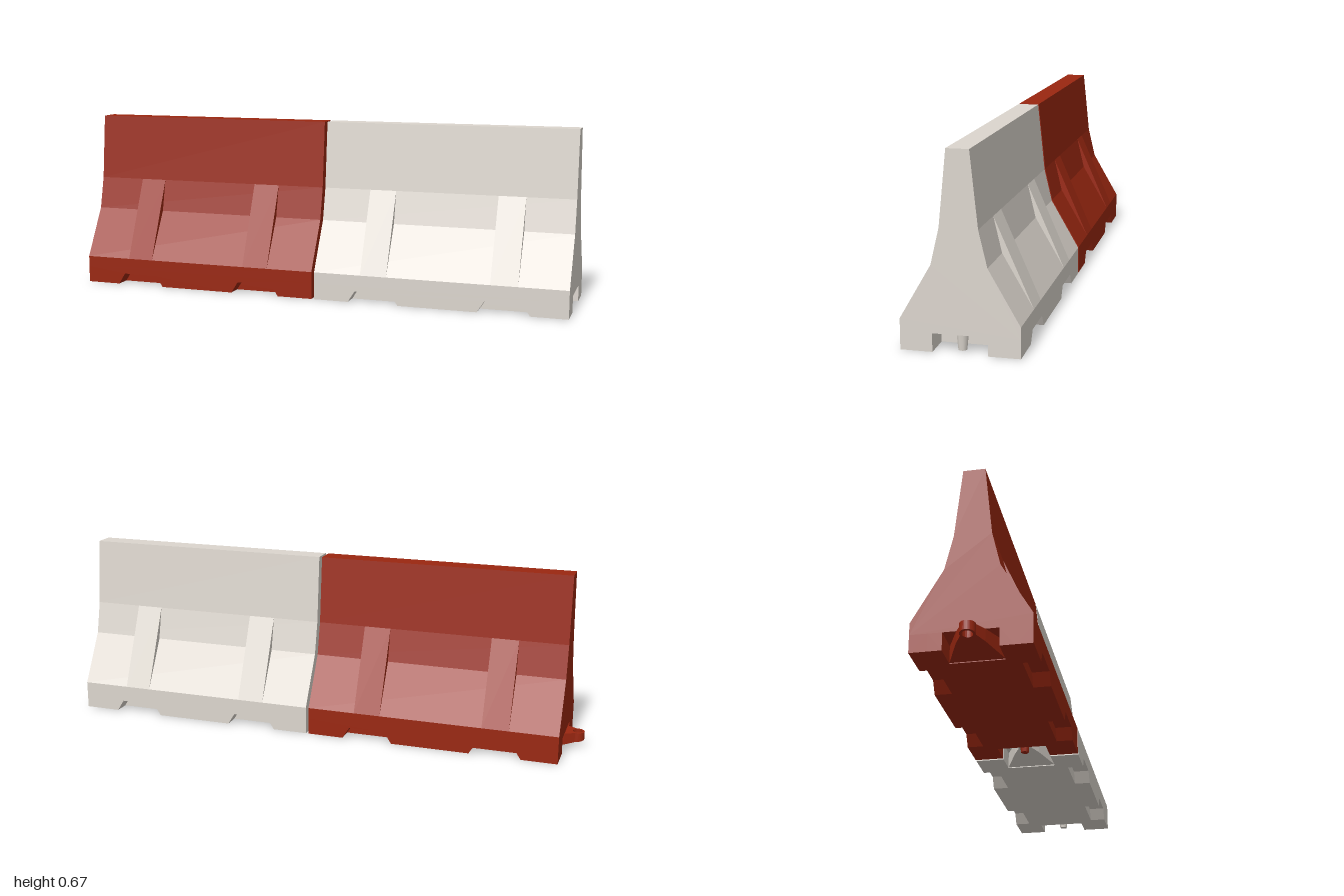
import * as THREE from 'three';

const LENGTH = 0.96;        // one barrier section
const PITCH = 0.971;        // spacing between sections
const BASE = 0.063;         // height of the recessed base layer
const POCKET = { depth: 0.1, half: 0.092 };
const NOTCH_DEPTH = 0.06;
const STATIONS = [0.232, 0.725];  // ribs and foot notches along x

const polygon = (pts) => new THREE.Shape(pts.map(([x, y]) => new THREE.Vector2(x, y)));
const extrude = (shape, depth) =>
  new THREE.ExtrudeGeometry(shape, { depth, bevelEnabled: false, curveSegments: 10 });

// cross-section given as [z, y], swept along x
const sweepX = (pts, x0, length) =>
  extrude(polygon(pts.map(([z, y]) => [-z, y])), length).rotateY(Math.PI / 2).translate(x0, 0, 0);

// plan given as x and -z, raised along y
const raise = (shape, y0, height) => extrude(shape, height).rotateX(-Math.PI / 2).translate(0, y0, 0);

// Flat tongue with an eye, sloping up underneath towards its tip
function tongueGeometry() {
  const cx = -0.043, r = 0.026;
  const shape = new THREE.Shape();
  shape.moveTo(POCKET.depth, -POCKET.half);
  shape.lineTo(POCKET.depth, POCKET.half);
  shape.lineTo(0, 0.047);
  shape.absarc(cx, 0, r, Math.PI * 0.42, Math.PI * 1.58, false);
  shape.lineTo(0, -0.047);
  shape.closePath();
  const eye = new THREE.Path();
  eye.absarc(cx, 0, 0.018, 0, Math.PI * 2, true);
  shape.holes.push(eye);
  const geo = raise(shape, 0, BASE);
  const p = geo.attributes.position;
  for (let i = 0; i < p.count; i++) {
    if (p.getY(i) < 0.01) p.setY(i, 0.02 - 0.17 * p.getX(i));
  }
  geo.computeVertexNormals();
  return geo;
}

function createSection(name, material) {
  const section = new THREE.Group();
  section.name = name;
  const add = (part, geometry) => {
    const mesh = new THREE.Mesh(geometry, material);
    mesh.name = part;
    section.add(mesh);
  };

  // Tapered wall above the base layer
  const side = [[0.2, BASE], [0.2, 0.105], [0.093, 0.29], [0.064, 0.413], [0.038, 0.666]];
  const mirrored = side.map(([z, y]) => [-z, y]).reverse();
  add('wall', sweepX([...side, ...mirrored], 0, LENGTH));

  // Base core with a pocket at each end
  const inner = 0.2 - NOTCH_DEPTH, { depth: d, half: h } = POCKET;
  add('baseCore', raise(polygon([
    [0, -inner], [LENGTH, -inner], [LENGTH, -h], [LENGTH - d, -h], [LENGTH - d, h], [LENGTH, h],
    [LENGTH, inner], [0, inner], [0, h], [d, h], [d, -h], [0, -h],
  ]), 0, BASE));

  // Notched feet along both long sides
  const foot = [[0, BASE], [0, 0]];
  for (const x of STATIONS) foot.push([x - 0.097, 0], [x - 0.07, 0.043], [x + 0.07, 0.043], [x + 0.097, 0]);
  foot.push([LENGTH, 0], [LENGTH, BASE]);
  add('frontFoot', extrude(polygon(foot), NOTCH_DEPTH).translate(0, 0, inner));
  add('backFoot', extrude(polygon(foot), NOTCH_DEPTH).translate(0, 0, -0.2));

  // Ribs bridging the bend of the wall
  for (const x of STATIONS) {
    for (const s of [1, -1]) {
      add(s > 0 ? 'frontRib' : 'backRib',
        sweepX([[s * 0.2, 0.105], [s * 0.064, 0.413], [s * 0.093, 0.29]], x - 0.05, 0.102));
    }
  }

  // Coupling: tongue at one end, pin at the other
  add('tongue', tongueGeometry());
  const pin = new THREE.CylinderGeometry(0.021, 0.015, 0.058, 10);
  add('pin', pin.translate(LENGTH - 0.033, 0.034, 0));
  return section;
}

export function createModel() {
  const red = new THREE.MeshStandardMaterial({ color: 0x9a2710 });
  red.name = 'red plastic';
  const white = new THREE.MeshStandardMaterial({ color: 0xdcd6ce });
  white.name = 'off-white plastic';

  const model = new THREE.Group();
  model.name = 'roadBarrier';
  const sections = [createSection('redSection', red), createSection('whiteSection', white)];
  sections.forEach((section, i) => {
    section.position.x = 1 - LENGTH - PITCH * (1 - i);
    model.add(section);
  });
  return model;
}
